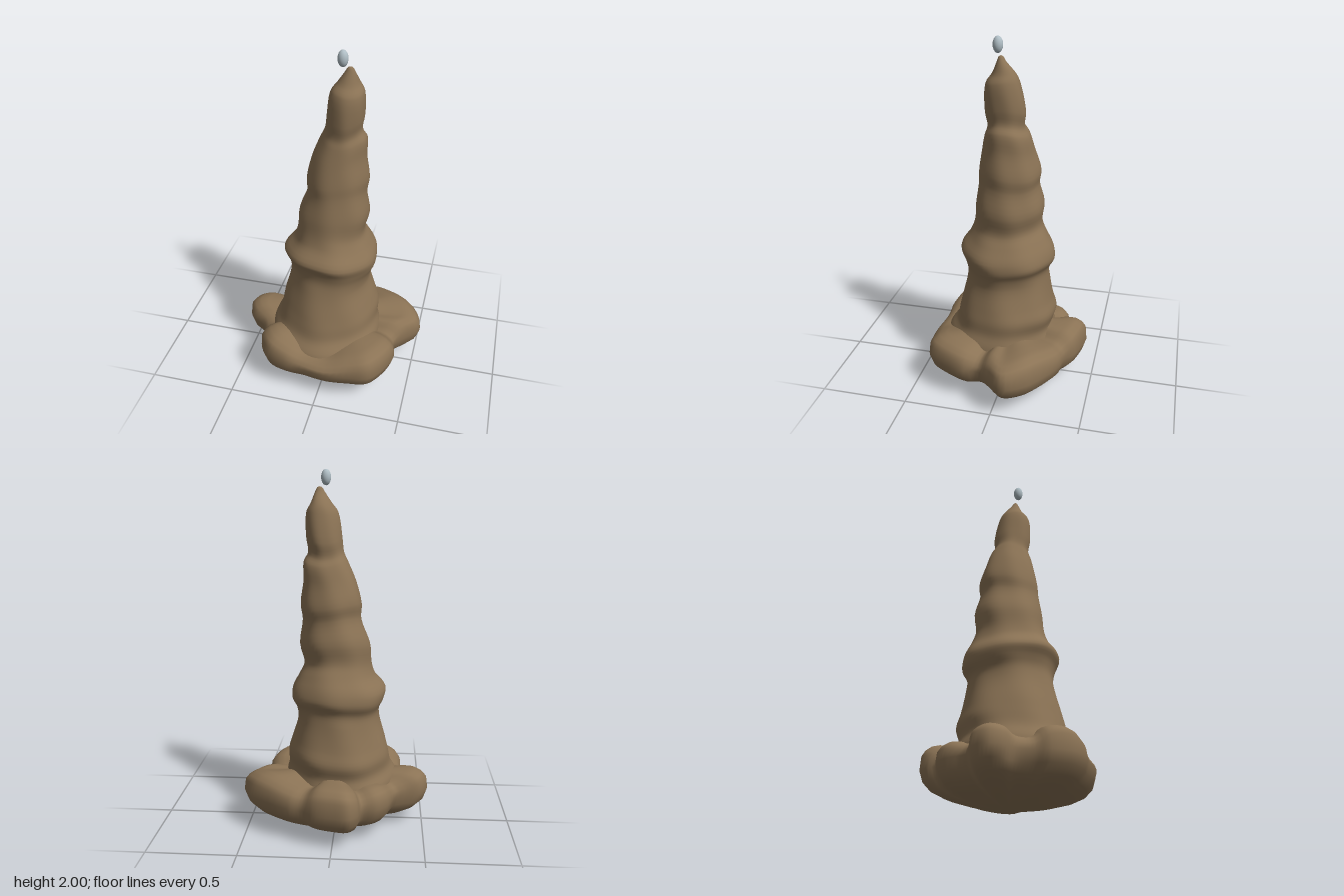
import * as THREE from 'three';

const SIDES = 64;

// Skins a stack of closed rings (bottom to top) with smooth normals.
function skin(rings, material, name) {
  const n = rings[0].length, index = [];
  for (let j = 0; j < rings.length - 1; j++) {
    for (let i = 0; i < n; i++) {
      const a = j * n + i, b = j * n + (i + 1) % n;
      index.push(a, a + n, b, b, a + n, b + n);
    }
  }
  const geometry = new THREE.BufferGeometry().setFromPoints(rings.flat());
  geometry.setIndex(index);
  geometry.computeVertexNormals();
  const mesh = new THREE.Mesh(geometry, material);
  mesh.name = name;
  return mesh;
}

// Trunk extents at each height: y, min x, max x, min z, max z
const TRUNK = [
  [0.18, -0.36, 0.30, -0.27, 0.39], [0.27, -0.35, 0.29, -0.27, 0.37],
  [0.34, -0.315, 0.27, -0.25, 0.32], [0.42, -0.30, 0.27, -0.27, 0.30],
  [0.50, -0.28, 0.25, -0.25, 0.28], [0.62, -0.245, 0.22, -0.23, 0.25],
  [0.69, -0.24, 0.23, -0.225, 0.24], [0.75, -0.262, 0.255, -0.255, 0.252],
  [0.81, -0.272, 0.255, -0.248, 0.277], [0.89, -0.215, 0.215, -0.21, 0.225],
  [0.96, -0.195, 0.183, -0.18, 0.20], [1.07, -0.188, 0.203, -0.19, 0.19],
  [1.20, -0.14, 0.185, -0.163, 0.17], [1.28, -0.142, 0.195, -0.172, 0.165],
  [1.40, -0.108, 0.18, -0.143, 0.143], [1.50, -0.063, 0.18, -0.12, 0.12],
  [1.55, -0.04, 0.155, -0.092, 0.105], [1.63, -0.03, 0.165, -0.10, 0.115],
  [1.77, -0.008, 0.165, -0.072, 0.11], [1.82, 0.025, 0.14, -0.05, 0.075],
  [1.88, 0.064, 0.118, 0.00, 0.048], [1.905, 0.08, 0.105, 0.015, 0.037],
  [1.91, 0.092, 0.092, 0.026, 0.026],
];

// Foot outline seen from above: x, z, height of the upper surface
const FOOT = [
  [0.53, -0.07, 0.31], [0.45, 0.03, 0.31], [0.40, 0.10, 0.27], [0.415, 0.20, 0.31],
  [0.36, 0.34, 0.325], [0.30, 0.41, 0.32], [0.20, 0.43, 0.30], [0.05, 0.445, 0.26],
  [-0.10, 0.425, 0.27], [-0.20, 0.42, 0.31], [-0.31, 0.38, 0.34], [-0.375, 0.28, 0.33],
  [-0.38, 0.20, 0.28], [-0.42, 0.12, 0.28], [-0.50, 0.07, 0.31], [-0.53, 0.00, 0.32],
  [-0.49, -0.08, 0.31], [-0.40, -0.115, 0.28], [-0.35, -0.14, 0.27], [-0.30, -0.26, 0.30],
  [-0.24, -0.32, 0.30], [-0.16, -0.34, 0.28], [-0.14, -0.40, 0.31], [-0.09, -0.45, 0.335],
  [0.00, -0.44, 0.34], [0.10, -0.41, 0.33], [0.17, -0.36, 0.29], [0.25, -0.34, 0.30],
  [0.40, -0.25, 0.33], [0.48, -0.18, 0.33],
];

// Foot cross-section: fraction of the outline, height (upper part is relative to the top)
const FOOT_UNDER = [[0, 0], [0.25, 0.008], [0.5, 0.03], [0.72, 0.06], [0.87, 0.095], [0.96, 0.14], [1, 0.2]];
const FOOT_OVER = [[0.985, 0.75], [0.94, 0.88], [0.87, 0.97], [0.78, 1], [0.65, 0.98], [0.4, 0.98]];

function makeTrunk(material) {
  // smooth the listed extents along the height
  const low = new THREE.CatmullRomCurve3(TRUNK.map(([y, x, , z]) => new THREE.Vector3(x, y, z)));
  const high = new THREE.CatmullRomCurve3(TRUNK.map(([y, , x, , z]) => new THREE.Vector3(x, y, z)));
  const rings = [], steps = (TRUNK.length - 1) * 4;
  for (let j = 0; j <= steps; j++) {
    const a = low.getPoint(j / steps), b = high.getPoint(j / steps);
    const fade = Math.min(1, (1.91 - a.y) * 4);
    const ring = [];
    for (let i = 0; i < SIDES; i++) {
      const t = i / SIDES * Math.PI * 2;
      // gentle lumps and wavy ledges
      const lump = 1 + fade * (0.013 * Math.sin(3 * t + 6 * a.y) + 0.01 * Math.sin(7 * t - 9 * a.y));
      const wave = fade * 0.014 * Math.sin(2 * t + 5 * a.y);
      ring.push(new THREE.Vector3(
        (a.x + b.x) / 2 + (b.x - a.x) / 2 * Math.cos(t) * lump,
        a.y + wave,
        (a.z + b.z) / 2 + (b.z - a.z) / 2 * Math.sin(t) * lump));
    }
    rings.push(ring);
  }
  return skin(rings, material, 'trunk');
}

function makeFoot(material) {
  const outline = new THREE.CatmullRomCurve3(
    FOOT.map(([x, z, top]) => new THREE.Vector3(x, top, z)), true).getPoints(120).slice(0, 120);
  const ringAt = (s, height) => outline.map(p => new THREE.Vector3(p.x * s, height(p), p.z * s));
  return skin([
    ...FOOT_UNDER.map(([s, y]) => ringAt(s, () => y)),
    ...FOOT_OVER.map(([s, k]) => ringAt(s, p => 0.1 + (p.y - 0.1) * k)),
  ], material, 'lobedFoot');
}

export function createModel() {
  const stone = new THREE.MeshStandardMaterial({ color: 0x8b7355 });
  stone.name = 'brown stone';
  const water = new THREE.MeshStandardMaterial({ color: 0xb0bec5 });
  water.name = 'pale water';

  const group = new THREE.Group();
  group.name = 'stalagmite';
  group.add(makeFoot(stone), makeTrunk(stone));

  // falling drop above the tip
  const drop = new THREE.Mesh(new THREE.SphereGeometry(0.027, 20, 14), water);
  drop.name = 'waterDrop';
  drop.scale.y = 1.6;
  drop.position.set(0.06, 1.957, 0.05);
  group.add(drop);
  return group;
}
